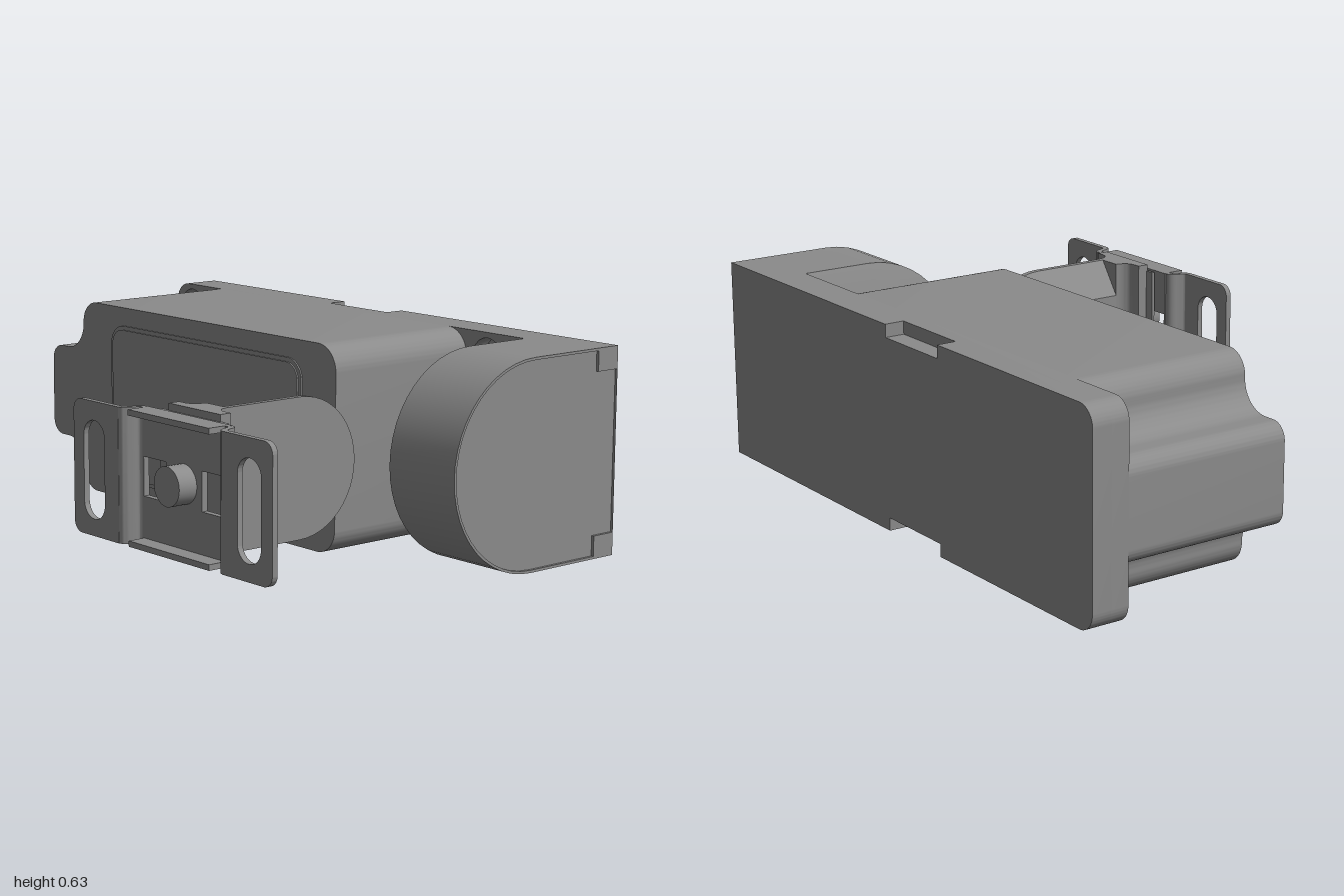
import * as THREE from 'three';
import { toCreasedNormals } from 'three/addons/utils/BufferGeometryUtils.js';

const material = new THREE.MeshStandardMaterial({ color: 0x8b8b8b });

export function createModel() {
  const group = new THREE.Group();
  const add = (name, geometry) => {
    const g = geometry.index ? geometry.toNonIndexed() : geometry;
    const mesh = new THREE.Mesh(toCreasedNormals(g, 0.6), material);
    mesh.name = name;
    group.add(mesh);
  };
  const extrude = (shape, depth) =>
    new THREE.ExtrudeGeometry(shape, { depth, bevelEnabled: false, curveSegments: 10 });
  // Shape in x,y extruded between two z values
  const alongZ = (shape, z0, z1) => extrude(shape, z1 - z0).translate(0, 0, z0);
  // Shape in x,z extruded between two y values
  const alongY = (shape, y0, y1) => extrude(shape, y1 - y0).rotateX(Math.PI / 2).translate(0, y1, 0);
  const box = (x0, x1, y0, y1, z0, z1) =>
    new THREE.BoxGeometry(x1 - x0, y1 - y0, z1 - z0).translate((x0 + x1) / 2, (y0 + y1) / 2, (z0 + z1) / 2);
  const polygon = (pts) => new THREE.Shape(pts.map(([x, y]) => new THREE.Vector2(x, y)));

  // Rectangle with separate corner radii on its left and right sides
  const roundRect = (x0, x1, y0, y1, rl, rr = rl, Type = THREE.Shape) => {
    const s = new Type();
    const corner = (x, y, r, a) => r > 0 ? s.absarc(x, y, r, a, a + Math.PI / 2, false) : s.lineTo(x, y);
    s.moveTo(x0 + rl, y0);
    corner(x1 - rr, y0 + rr, rr, -Math.PI / 2);
    corner(x1 - rr, y1 - rr, rr, 0);
    corner(x0 + rl, y1 - rl, rl, Math.PI / 2);
    corner(x0 + rl, y0 + rl, rl, Math.PI);
    return s;
  };

  // Round-nosed block: D-shaped sections [x, radius] joined along x; dir is where the nose points
  const roundNosed = (cy, zc, zBack, dir, sections) => {
    const steps = 24, n = steps + 3, pos = [], idx = [];
    const tri = (a, b, c) => dir > 0 ? idx.push(a, b, c) : idx.push(a, c, b);
    for (const [x, r] of sections) {
      pos.push(x, cy - r, zBack);
      for (let j = 0; j <= steps; j++) {
        const t = -Math.PI / 2 + (Math.PI * j) / steps;
        pos.push(x, cy + r * Math.sin(t), zc + dir * r * Math.cos(t));
      }
      pos.push(x, cy + r, zBack);
    }
    const last = (sections.length - 1) * n;
    for (let i = 0; i < last; i += n) {
      for (let j = 0; j < n; j++) {
        const k = (j + 1) % n;
        tri(i + j, i + n + j, i + n + k);
        tri(i + j, i + n + k, i + k);
      }
    }
    for (let j = 1; j < n - 1; j++) {
      tri(0, j, j + 1);
      tri(last, last + j + 1, last + j);
    }
    const g = new THREE.BufferGeometry();
    g.setAttribute('position', new THREE.Float32BufferAttribute(pos, 3));
    g.setIndex(idx);
    return g;
  };

  const H = 0.634, mid = H / 2, zBack = -0.692, xEnd = 0.937;

  // Base plate: front layer with blind mounting holes, back layer with edge notches
  const front = roundRect(-1, xEnd, 0, H, 0.06, 0);
  for (const x of [-0.917, 0.525]) {
    for (const y of [0.08, H - 0.08]) {
      const hole = new THREE.Path();
      hole.absarc(x, y, 0.063, 0, Math.PI * 2, true);
      front.holes.push(hole);
    }
  }
  add('basePlateFront', alongZ(front, -0.63, -0.573));
  const back = new THREE.Shape();
  back.moveTo(-0.94, 0);
  for (const [x, y] of [[-0.26, 0], [-0.26, 0.04], [0.015, 0.04], [0.015, 0], [xEnd, 0], [xEnd, H],
    [0.015, H], [0.015, H - 0.04], [-0.26, H - 0.04], [-0.26, H]]) back.lineTo(x, y);
  back.lineTo(-0.94, H);
  back.absarc(-0.94, H - 0.06, 0.06, Math.PI / 2, Math.PI, false);
  back.absarc(-0.94, 0.06, 0.06, Math.PI, Math.PI * 1.5, false);
  add('basePlateBack', alongZ(back, zBack, -0.63));

  // Main housing, scooped out around the two left mounting holes
  const body = new THREE.Shape();
  body.moveTo(-0.755, 0);
  body.lineTo(0.355, 0);
  body.absarc(0.355, 0.08, 0.08, -Math.PI / 2, 0, false);
  body.absarc(0.355, H - 0.08, 0.08, 0, Math.PI / 2, false);
  body.lineTo(-0.755, H);
  body.absarc(-0.755, H - 0.07, 0.07, Math.PI / 2, Math.PI, false);
  body.absarc(-0.915, H - 0.075, 0.09, 0, -Math.PI / 2, true);
  body.lineTo(-0.95, H - 0.165);
  body.absarc(-0.95, H - 0.215, 0.05, Math.PI / 2, Math.PI, false);
  body.absarc(-0.95, 0.215, 0.05, Math.PI, Math.PI * 1.5, false);
  body.absarc(-0.915, 0.075, 0.09, Math.PI / 2, 0, true);
  body.absarc(-0.755, 0.07, 0.07, Math.PI, Math.PI * 1.5, false);
  add('housing', alongZ(body, -0.573, -0.037));
  // Cover panel raised in two small steps
  add('coverRim', alongZ(roundRect(-0.665, 0.285, 0.06, 0.575, 0.065), -0.05, -0.032));
  add('cover', alongZ(roundRect(-0.652, 0.272, 0.073, 0.562, 0.052), -0.05, -0.027));

  // Plunger on the side of the housing
  const plunger = (name, r, x0, x1) => add(name, new THREE.CylinderGeometry(r, r, x1 - x0, 28)
    .rotateZ(Math.PI / 2).translate((x0 + x1) / 2, mid, -0.35));
  plunger('plungerNeck', 0.04, 0.42, 0.45);
  plunger('plunger', 0.05, 0.44, 0.498);

  // Round head with a conical inner face and a thin rim around its recessed outer face
  add('head', roundNosed(mid, -0.345, zBack, 1,
    [[0.562, 0.001], [0.68, mid], [0.946, mid], [0.946, mid - 0.008], [xEnd, mid - 0.008]]));
  for (const y of [0, H - 0.07]) add('headCornerBlock', box(0.9, 0.946, y, y + 0.07, zBack, -0.61));

  // Actuator key with a chamfered round nose and a filleted foot
  const kx = 0.56, ky = 0.333;
  add('key', roundNosed(ky, 0.25, 0.54, -1, [[0.514, 0.1], [0.589, 0.207], [0.608, 0.207]]));
  const foot = new THREE.Shape();
  foot.moveTo(0.449, 0.597);
  foot.lineTo(0.449, 0.56);
  foot.lineTo(0.469, 0.56);
  foot.quadraticCurveTo(0.509, 0.56, 0.514, 0.515);
  foot.lineTo(0.608, 0.515);
  foot.quadraticCurveTo(0.613, 0.56, 0.653, 0.56);
  foot.lineTo(0.677, 0.56);
  foot.lineTo(0.677, 0.597);
  add('keyFoot', alongY(foot, 0.125, 0.54));
  add('keyFootPlate', box(0.417, 0.707, 0.127, 0.519, 0.592, 0.602));
  const rod = (name, r, z0, z1) => add(name, new THREE.CylinderGeometry(r, r, z1 - z0, 32)
    .rotateX(Math.PI / 2).translate(kx, ky, (z0 + z1) / 2));
  rod('stem', 0.056, 0.59, 0.63);
  rod('screwHead', 0.057, 0.62, 0.692);

  // Mounting bracket: centre plate with windows, bent flanges, stepped arms and slotted tabs
  const y0 = 0.13, y1 = 0.522;
  const plate = polygon([[kx - 0.187, y0], [kx + 0.187, y0], [kx + 0.187, y1], [kx - 0.187, y1]]);
  for (const s of [-1, 1]) {
    const window = [[0.08, 0.268], [0.08, 0.382], [0.182, 0.382], [0.182, 0.268]];
    plate.holes.push(polygon(window.map(([x, y]) => [kx + s * x, y])));
  }
  add('bracketPlate', alongZ(plate, 0.612, 0.631));
  for (const y of [y0, y1 - 0.017]) add('bracketFlange', box(kx - 0.182, kx + 0.178, y, y + 0.017, 0.614, 0.686));

  const bend = new THREE.CatmullRomCurve3([[0.235, 0.675], [0.222, 0.67], [0.212, 0.65], [0.203, 0.628], [0.187, 0.621]]
    .map(([x, z]) => new THREE.Vector3(x, z, 0)));
  const half = 0.0092;
  for (const s of [-1, 1]) {
    const outer = [], inner = [];
    for (let i = 0; i <= 16; i++) {
      const p = bend.getPoint(i / 16), t = bend.getTangent(i / 16);
      outer.push([kx + s * (p.x - t.y * half), p.y + t.x * half]);
      inner.unshift([kx + s * (p.x + t.y * half), p.y - t.x * half]);
    }
    add('bracketStep', alongY(polygon([...outer, ...inner]), y0, y1));

    const [a, b] = s < 0 ? [0.118, kx - 0.23] : [kx + 0.23, 1];
    const tab = roundRect(a, b, y0, y1, s < 0 ? 0.035 : 0, s < 0 ? 0 : 0.035);
    const cx = kx + s * 0.3445;
    tab.holes.push(roundRect(cx - 0.049, cx + 0.049, 0.18, 0.467, 0.0485, 0.0485, THREE.Path));
    add('bracketTab', alongZ(tab, 0.666, 0.684));
  }
  return group;
}
